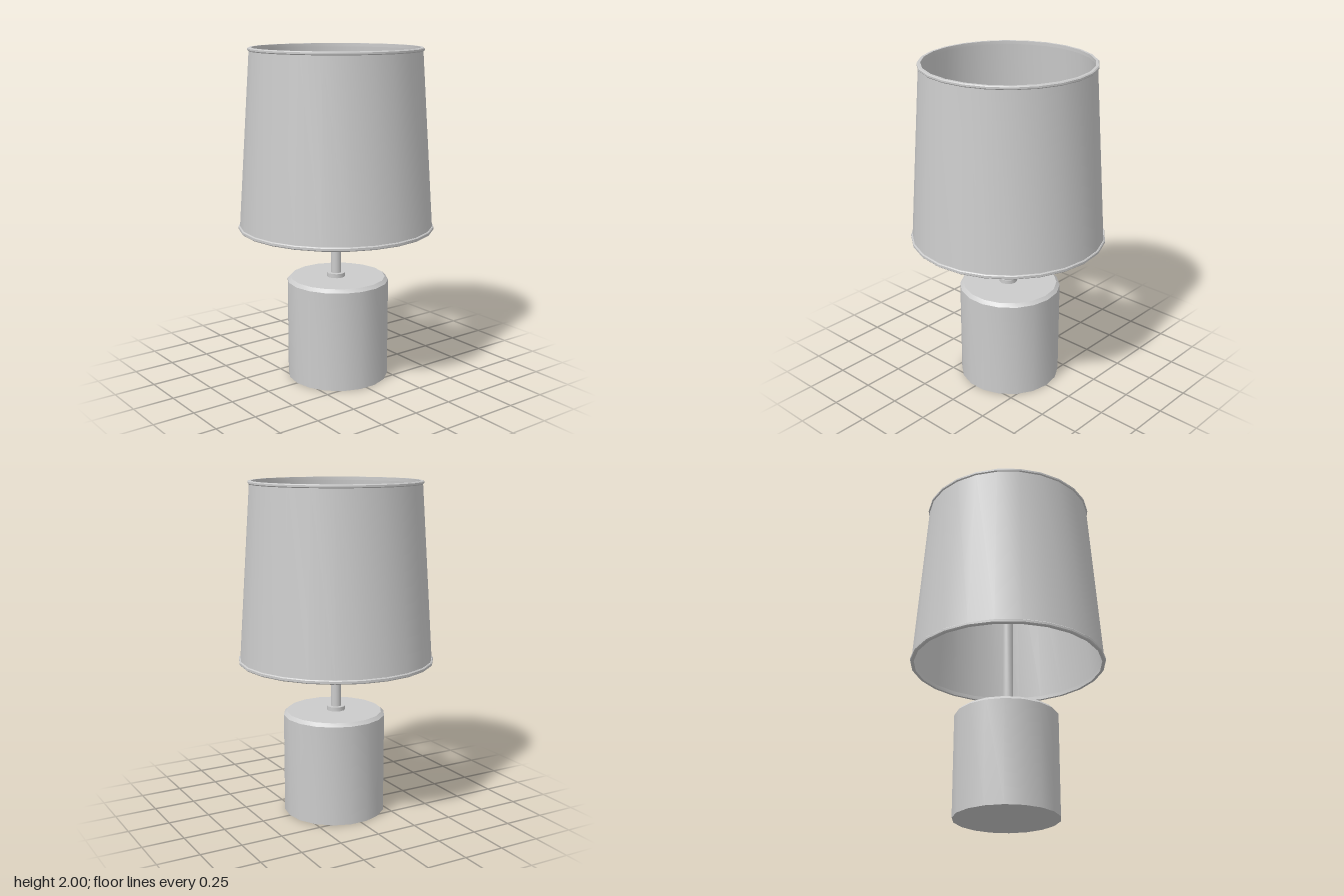
import * as THREE from 'three';
import { toCreasedNormals } from 'three/addons/utils/BufferGeometryUtils.js';

const material = new THREE.MeshStandardMaterial({ color: 0xcccccc });

// Revolve [radius, y] points; smooth around the axis, sharp at profile corners
function turned(name, points, sides) {
  const profile = points.map(([r, y]) => new THREE.Vector2(r, y));
  const geometry = toCreasedNormals(new THREE.LatheGeometry(profile, sides), 0.6);
  const mesh = new THREE.Mesh(geometry, material);
  mesh.name = name;
  return mesh;
}

// Closed disc or post between two heights
const post = (name, r, y0, y1, sides) =>
  turned(name, [[0, y0], [r, y0], [r, y1], [0, y1]], sides);

// Trim ring with softened outer edges
const trim = (name, inner, outer, y0, y1) => {
  const b = 0.005;
  return turned(name, [
    [inner, y0], [outer - b, y0], [outer, y0 + b], [outer, y1 - b],
    [outer - b, y1], [inner, y1], [inner, y0],
  ], 24);
};

export function createModel() {
  const lamp = new THREE.Group();
  lamp.name = 'tableLamp';

  // Solid drum base with a bevelled top, set slightly back
  const base = turned('base', [[0, 0], [0.307, 0], [0.307, 0.605], [0.287, 0.625], [0, 0.625]], 18);
  base.position.z = -0.013;
  lamp.add(base);

  // Stem with its collar and bulb socket
  lamp.add(post('collar', 0.055, 0.62, 0.65, 12));
  lamp.add(post('stem', 0.031, 0.62, 1.26, 12));
  lamp.add(post('socket', 0.055, 1.24, 1.33, 12));

  // Bulb
  const bulb = new THREE.Mesh(new THREE.SphereGeometry(0.092, 8, 8), material);
  bulb.name = 'bulb';
  bulb.position.y = 1.4;
  lamp.add(bulb);

  // Tapered shade with a thin wall, open at both ends
  lamp.add(turned('shade', [
    [0.565, 0.94], [0.576, 0.94], [0.503, 1.99], [0.492, 1.99], [0.565, 0.94],
  ], 24));
  lamp.add(trim('topTrim', 0.49, 0.511, 1.98, 2));
  lamp.add(trim('bottomTrim', 0.562, 0.584, 0.932, 0.955));

  return lamp;
}
